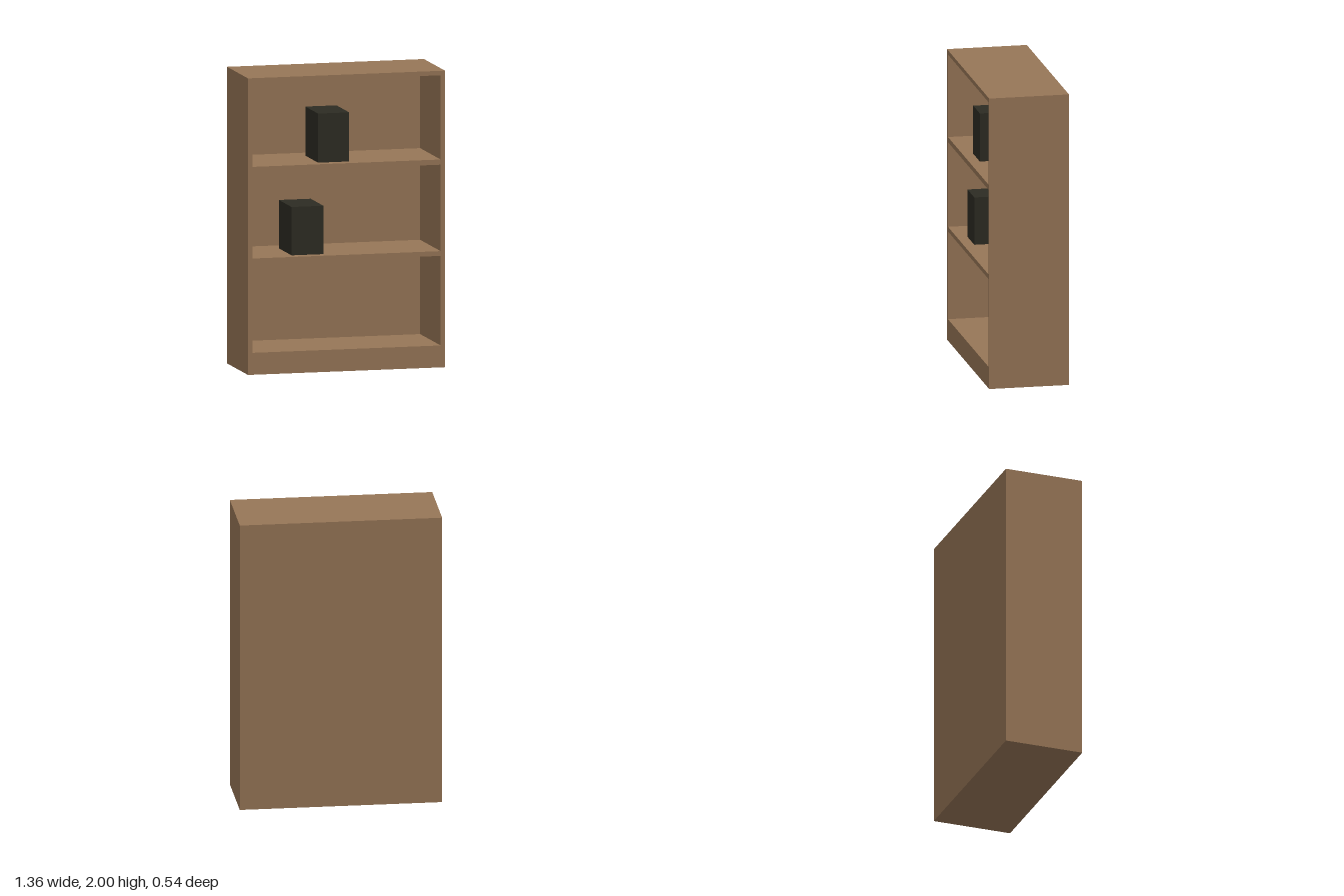
import * as THREE from 'three';

const W = 1.36, H = 2, D = 0.544, BACK = 0.012;
const INNER = 0.65; // half width of the compartments

// Compartments as [floor, ceiling]
const bays = [[0.148, 0.752], [0.784, 1.367], [1.402, 1.97]];

function rectangle(target, x0, y0, x1, y1) {
  target.moveTo(x0, y0).lineTo(x1, y0).lineTo(x1, y1).lineTo(x0, y1).closePath();
  return target;
}

export function createModel() {
  const wood = new THREE.MeshStandardMaterial({ color: 0x977657 });
  wood.name = 'brown wood';
  const dark = new THREE.MeshStandardMaterial({ color: 0x2d2c23 });
  dark.name = 'dark olive black';

  const model = new THREE.Group();
  model.name = 'bookcase';
  const add = (name, geometry, material, x, y, z) => {
    const mesh = new THREE.Mesh(geometry, material);
    mesh.name = name;
    mesh.position.set(x, y, z);
    model.add(mesh);
  };

  // Case: sides, plinth, top and shelves around three open compartments
  const outline = rectangle(new THREE.Shape(), -W / 2, 0, W / 2, H);
  for (const [y0, y1] of bays) {
    outline.holes.push(rectangle(new THREE.Path(), -INNER, y0, INNER, y1));
  }
  const caseGeometry = new THREE.ExtrudeGeometry(outline, { depth: D - BACK, bevelEnabled: false });
  add('shelfCase', caseGeometry, wood, 0, 0, -D / 2 + BACK);

  // Thin panel closing the back
  add('backPanel', new THREE.BoxGeometry(W, H, BACK), wood, 0, H / 2, -D / 2 + BACK / 2);

  // Boxes standing on the two upper shelves: [name, x0, x1, floor, top]
  for (const [name, x0, x1, y0, y1] of [
    ['middleShelfBox', -0.36, -0.14, bays[1][0], 1.11],
    ['upperShelfBox', -0.177, 0.038, bays[2][0], 1.733],
  ]) {
    add(name, new THREE.BoxGeometry(x1 - x0, y1 - y0, 0.33), dark, (x0 + x1) / 2, (y0 + y1) / 2, 0.035);
  }
  return model;
}
